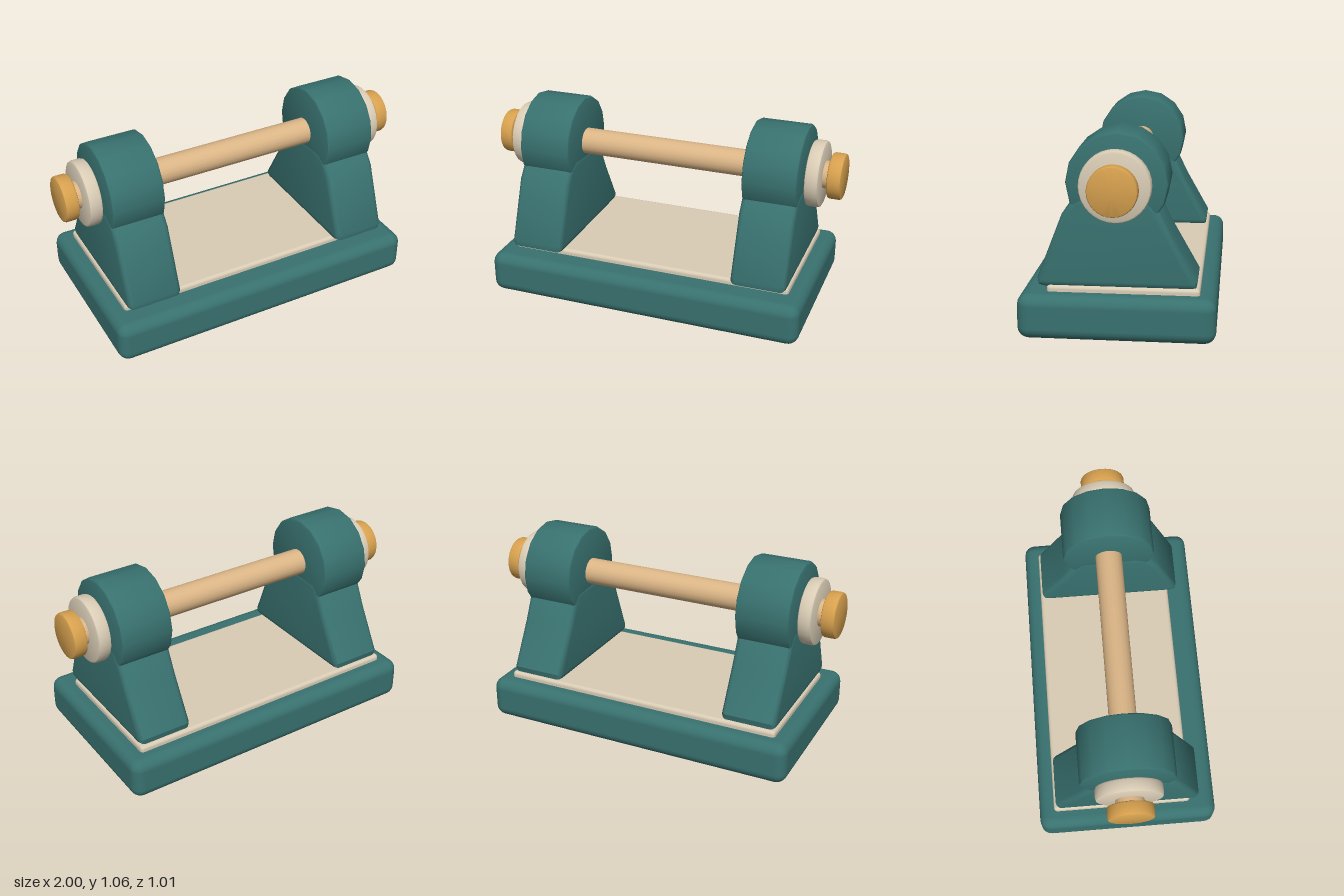
import * as THREE from 'three';
import { toCreasedNormals } from 'three/addons/utils/BufferGeometryUtils.js';
import { RoundedBoxGeometry } from 'three/addons/geometries/RoundedBoxGeometry.js';

const makeMaterial = (name, color) => {
  const m = new THREE.MeshStandardMaterial({ color });
  m.name = name;
  return m;
};

// Disc with softened rims, lying along the x axis
function disc(radius, width, bevel, sides) {
  const h = width / 2, b = bevel;
  const profile = [
    [0, -h], [radius - b, -h], [radius - b * 0.3, -h + b * 0.3], [radius, -h + b],
    [radius, h - b], [radius - b * 0.3, h - b * 0.3], [radius - b, h], [0, h],
  ].map(([x, y]) => new THREE.Vector2(x, y));
  const g = new THREE.LatheGeometry(profile, sides).rotateZ(Math.PI / 2);
  return toCreasedNormals(g, 0.65);
}

// Tapered cheek with rounded edges, outline given as (z, y)
function cheek(width) {
  const outline = [
    [-0.37, 0.257], [-0.4, 0.267], [-0.406, 0.3], [-0.27, 0.54], [-0.21, 0.665], [-0.16, 0.72],
    [0.16, 0.74], [0.22, 0.71], [0.28, 0.635], [0.41, 0.3], [0.405, 0.265], [0.37, 0.255],
  ].map(([z, y]) => new THREE.Vector2(z, y));
  const bevel = 0.03;
  const g = new THREE.ExtrudeGeometry(new THREE.Shape(outline), {
    depth: width - 2 * bevel, bevelThickness: bevel, bevelSize: bevel,
    bevelOffset: -bevel, bevelSegments: 3,
  });
  g.translate(0, 0, -(width - 2 * bevel) / 2).rotateY(-Math.PI / 2);
  return toCreasedNormals(g, 0.65);
}

export function createModel() {
  const model = new THREE.Group();
  model.name = 'rollerStand';

  const teal = makeMaterial('teal', 0x38716f);
  const cream = makeMaterial('cream', 0xd9ccb5);
  const tan = makeMaterial('tan', 0xdbb586);
  const gold = makeMaterial('gold', 0xd6a04e);

  const add = (name, geometry, material, x, y, z) => {
    const mesh = new THREE.Mesh(geometry, material);
    mesh.name = name;
    mesh.position.set(x, y, z);
    model.add(mesh);
  };

  // Base and the thin plate set into it
  add('base', new RoundedBoxGeometry(1.8, 0.235, 1.01, 3, 0.06), teal, 0, 0.1175, 0);
  add('plate', new RoundedBoxGeometry(1.62, 0.08, 0.78, 2, 0.02), cream, 0, 0.228, -0.03);

  // Axle
  const axleY = 0.8;
  add('axle', new THREE.CylinderGeometry(0.075, 0.075, 1.9, 20).rotateZ(Math.PI / 2), tan, 0, axleY, 0);

  // Supports, washers and end caps on both sides
  const cheekShape = cheek(0.306);
  const hub = disc(0.258, 0.3, 0.015, 16);
  const washer = disc(0.181, 0.076, 0.015, 32);
  const cap = disc(0.125, 0.076, 0.012, 32);
  for (const [side, s] of [['left', 1], ['right', -1]]) {
    add(side + 'Cheek', cheekShape, teal, s * 0.65, 0, 0);
    add(side + 'Hub', hub, teal, s * 0.65, axleY, 0);
    add(side + 'Washer', washer, cream, s * 0.855, axleY, 0);
    add(side + 'Cap', cap, gold, s * 0.962, axleY, 0);
  }

  return model;
}
